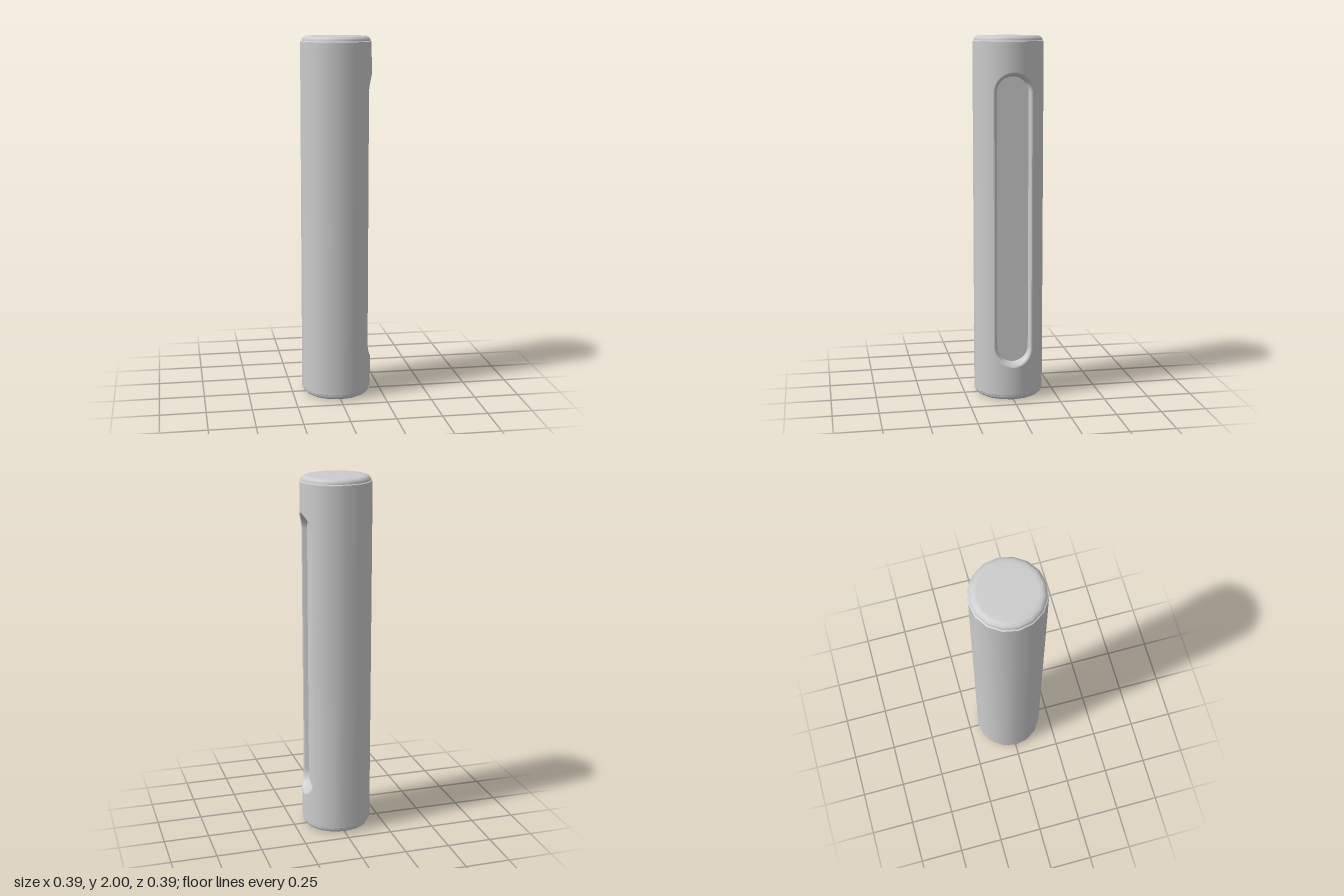
import * as THREE from 'three';
import { toCreasedNormals } from 'three/addons/utils/BufferGeometryUtils.js';

const R = 0.195;      // barrel radius
const END = 0.965;    // half height of the straight barrel
const ARC = 0.7;      // slot end-arc centre, measured from mid height
const HALF = R * Math.SQRT1_2; // half width of the panel around the slot
const N = 24;         // segments per slot end arc

const material = new THREE.MeshStandardMaterial({ color: 0xcccccc, side: THREE.DoubleSide });

// Depth of the round barrel, and of its 16-sided version, at a given z
const roundX = (z) => Math.sqrt(R * R - z * z);
function facetX(z) {
  const a = Math.abs(z), z1 = R * Math.sin(Math.PI / 8), x1 = R * Math.cos(Math.PI / 8);
  return a < z1 ? R + (x1 - R) * a / z1 : x1 + (HALF - x1) * (a - z1) / (HALF - z1);
}

// Closed outlines, as seen facing the slot: rounded slot and rectangular panel
function outline(endPoint) {
  const pts = [];
  for (const sign of [1, -1])
    for (let i = 0; i <= N; i++) {
      const [s, y] = endPoint(i / N);
      pts.push([-s * sign, y * sign]); // [z, y]
    }
  return pts;
}
const slotOutline = (w) => outline((q) => [w * Math.cos(q * Math.PI), ARC + w * Math.sin(q * Math.PI)]);
const panelOutline = () => outline((q) => {
  const h = END - ARC;
  if (q < 0.25) return [HALF, ARC + h * 4 * q];
  if (q > 0.75) return [-HALF, ARC + h * 4 * (1 - q)];
  return [HALF * (1 - (q - 0.25) * 4), END];
});

// Joins rings of [x, y, z] points from the outside in
function loft(rings) {
  const count = rings[0].length, index = [];
  for (let r = 0; r < rings.length - 1; r++)
    for (let i = 0; i < count; i++) {
      const j = (i + 1) % count, a = r * count, b = a + count;
      index.push(a + i, a + j, b + j, a + i, b + j, b + i);
    }
  const g = new THREE.BufferGeometry();
  g.setAttribute('position', new THREE.Float32BufferAttribute(rings.flat(2), 3));
  g.setIndex(index);
  return g;
}

export function createModel() {
  const group = new THREE.Group();
  const add = (name, geometry, y = 1) => {
    const mesh = new THREE.Mesh(geometry, material);
    mesh.name = name;
    mesh.position.y = y;
    group.add(mesh);
    return mesh;
  };

  // Barrel wall, open on the +x quarter
  add('barrel', new THREE.CylinderGeometry(R, R, END * 2, 12, 1, true, Math.PI * 0.75, Math.PI * 1.5));

  // Curved panel from the barrel edge to the slot rim
  const RIM = 0.108, STEPS = 5;
  const outer = panelOutline(), inner = slotOutline(RIM);
  const panelRings = [];
  for (let k = 0; k <= STEPS; k++) {
    const t = k / STEPS;
    panelRings.push(outer.map(([z0, y0], i) => {
      const z = z0 + (inner[i][0] - z0) * t;
      const y = y0 + (inner[i][1] - y0) * t;
      return [facetX(z) * (1 - t) + roundX(z) * t, y, z];
    }));
  }
  const panel = loft(panelRings);
  const p = panel.attributes.position, normals = [];
  for (let i = 0; i < p.count; i++) {
    const l = Math.hypot(p.getX(i), p.getZ(i));
    normals.push(p.getX(i) / l, 0, p.getZ(i) / l);
  }
  panel.setAttribute('normal', new THREE.Float32BufferAttribute(normals, 3));
  add('slotPanel', panel);

  // Bevelled rim, drafted wall and flat floor of the slot
  const FLOOR = 0.137;
  const ring = (w, depth) => slotOutline(w).map(([z, y]) => [depth(z), y, z]);
  add('slotRecess', toCreasedNormals(loft([
    ring(RIM, roundX),
    ring(0.102, (z) => roundX(z) - 0.003),
    ring(0.096, (z) => roundX(z) - 0.010),
    ring(0.086, () => FLOOR),
    ring(0.002, () => FLOOR),
    ring(0, () => FLOOR),
  ]), 0.6));

  // Rounded end caps with a small step at the barrel edge
  const profile = [[R, 0], [0.1945, 0.005], [0.188, 0.009], [0.188, 0.016], [0.182, 0.026], [0.168, 0.034], [0.15, 0.035], [0, 0.035]]
    .map(([r, y]) => new THREE.Vector2(r, y));
  const capGeometry = toCreasedNormals(new THREE.LatheGeometry(profile, 16), 0.7);
  add('topCap', capGeometry, 1 + END);
  add('bottomCap', capGeometry, 1 - END).rotation.x = Math.PI;

  return group;
}
